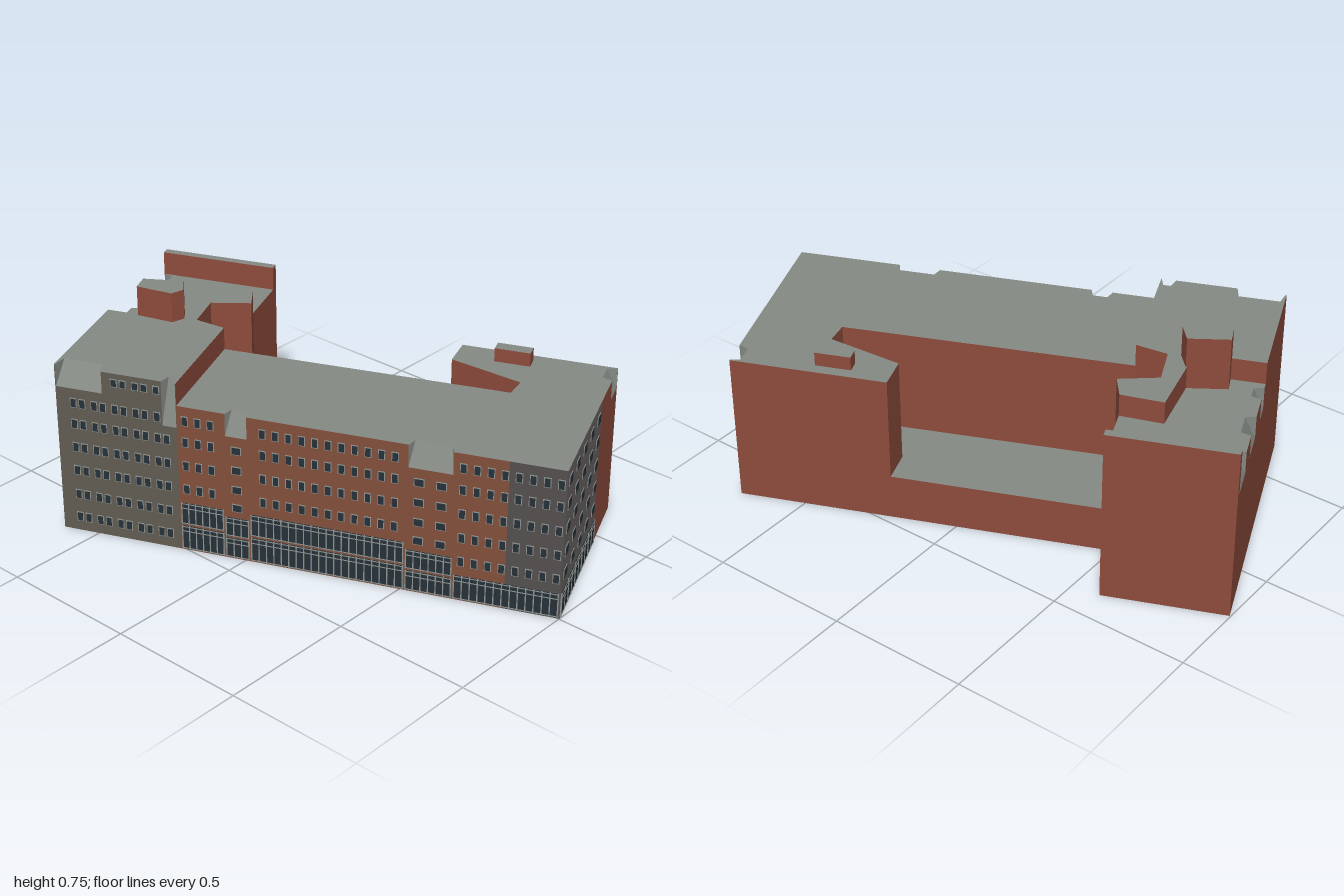
import * as THREE from 'three';
import { mergeGeometries } from 'three/addons/utils/BufferGeometryUtils.js';

const mat = (color) => new THREE.MeshStandardMaterial({ color, side: THREE.DoubleSide });
const BRICK = mat(0x8e4c3c), FRONT = mat(0x84503c), STONE = mat(0x625c52), SLATE = mat(0x54504f),
  SIDE = mat(0x6c6464), ROOF = mat(0x858a85), FRAME = mat(0x8f9490), GLASS = mat(0x263138);

function add(parent, geo, material, name) {
  const m = new THREE.Mesh(geo, material);
  m.name = name;
  parent.add(m);
  return m;
}

// Frame standing on the plan line a -> b: x along the wall, y up, z outward
function wallFrame(parent, a, b, name) {
  const g = new THREE.Group();
  g.name = name;
  g.position.set(a[0], 0, -a[1]);
  g.rotation.y = Math.atan2(b[1] - a[1], b[0] - a[0]);
  parent.add(g);
  return g;
}

// Sloped roof patch that fills a notch [start, end, low y, depth] in the wall top
function slope(parent, [s0, s1, y0, d], y1) {
  const k = 0.012;
  const A = [s0, y1, 0], B = [s0, y0, 0], C = [s1, y0, 0], D = [s1, y1, 0], E = [s0 + k, y1, -d], F = [s1 - k, y1, -d];
  const geo = new THREE.BufferGeometry();
  geo.setAttribute('position', new THREE.Float32BufferAttribute([A, B, E, B, C, F, B, F, E, C, D, F].flat(), 3));
  geo.computeVertexNormals();
  add(parent, geo, ROOF, 'roofSlope');
}

// Open-bottomed block. Corners run counter-clockwise in plan: [u, v, wall base or null, material, notches]
function block(parent, name, corners, top) {
  const g = new THREE.Group();
  g.name = name;
  parent.add(g);
  const outline = [];
  corners.forEach((a, i) => {
    const b = corners[(i + 1) % corners.length];
    const [u, v, base = 0, material = BRICK, notches = []] = a;
    const len = Math.hypot(b[0] - u, b[1] - v), du = (b[0] - u) / len, dv = (b[1] - v) / len;
    const plan = (s, d) => new THREE.Vector2(u + du * s - dv * d, v + dv * s + du * d);
    outline.push(plan(0, 0));
    for (const [s0, s1, , d] of notches) {
      outline.push(plan(s0, 0), plan(s0 + 0.012, d), plan(s1 - 0.012, d), plan(s1, 0));
    }
    if (base === null) return;
    const frame = wallFrame(g, a, b, 'wallSection');
    const shape = new THREE.Shape();
    shape.moveTo(0, base).lineTo(len, base).lineTo(len, top);
    for (const [s0, s1, y0] of [...notches].reverse()) {
      shape.lineTo(s1, top).lineTo(s1, y0).lineTo(s0, y0).lineTo(s0, top);
    }
    shape.lineTo(0, top);
    add(frame, new THREE.ShapeGeometry(shape), material, 'wall');
    notches.forEach((n) => slope(frame, n, top));
  });
  const cap = new THREE.ShapeGeometry(new THREE.Shape(outline));
  cap.rotateX(-Math.PI / 2).translate(0, top, 0);
  add(g, cap, ROOF, 'roof');
}

// Collects framed windows and glazed shopfronts on one facade, then merges them
function openings(frame) {
  const frames = [], panes = [];
  const box = (list, x, y, w, h, d) => list.push(new THREE.BoxGeometry(w, h, d).translate(x, y, 0));
  return {
    window(x, y, w, h) {
      box(frames, x, y, w, h, 0.004);
      box(panes, x, y, w - 0.006, h - 0.006, 0.007);
    },
    glazing(x0, x1, y0, y1, pitch) {
      const w = x1 - x0, n = Math.max(1, Math.round(w / pitch));
      box(panes, (x0 + x1) / 2, (y0 + y1) / 2, w, y1 - y0, 0.006);
      for (let i = 0; i <= n; i++) box(frames, x0 + (w * i) / n, (y0 + y1) / 2, 0.004, y1 - y0, 0.01);
      for (const y of [y0 + 0.003, y1 - 0.02, y1 - 0.003]) box(frames, (x0 + x1) / 2, y, w, 0.003, 0.009);
    },
    finish() {
      add(frame, mergeGeometries(frames), FRAME, 'windowFrames');
      add(frame, mergeGeometries(panes), GLASS, 'windowPanes');
    },
  };
}

export function createModel() {
  const root = new THREE.Group();
  root.name = 'building';
  const plan = new THREE.Group();
  plan.name = 'rotatedBuilding';
  plan.position.set(-0.62, 0, 0.677);
  plan.rotation.y = 0.397;
  root.add(plan);

  // Long main wing wrapping the right of the courtyard
  block(plan, 'mainWing', [
    [0.437, 0, 0, FRONT, [[0.17, 0.246, 0.47, 0.035], [0.8, 0.95, 0.47, 0.035]]],
    [1.57, 0, 0, SLATE],
    [1.757, 0, 0, SIDE],
    [1.757, 0.49, 0, BRICK, [[0.15, 0.243, 0.48, 0.035]]],
    [1.757, 0.736], [1.208, 0.736, 0.17], [1.203, 0.617, 0.17],
    [1.468, 0.528, 0.17], [1.456, 0.446, 0.17], [0.437, 0.437, null],
  ], 0.553);

  // Taller corner block with mansard slopes, and its stem beside the courtyard
  block(plan, 'cornerBlock', [
    [0, 0, 0, STONE, [[0.003, 0.17, 0.553, 0.05], [0.385, 0.435, 0.47, 0.04]]],
    [0.437, 0, 0.553], [0.437, 0.437, 0.17], [0.325, 0.465, 0.17], [0.32, 0.608, 0.17],
    [0.457, 0.65, 0.17], [0.43, 0.736, 0.553], [0.28, 0.745, 0.553], [0.25, 0.53, 0.553],
    [0.25, 0.44, 0.553], [0, 0.44],
  ], 0.635);

  // Lower rear of the left wing
  block(plan, 'rearWing', [
    [0, 0.44, null], [0.25, 0.44, null], [0.25, 0.53, null], [0.28, 0.745, null],
    [0.43, 0.736], [0.43, 0.973],
    [0, 0.973, 0, BRICK, [[0.03, 0.14, 0.47, 0.035], [0.23, 0.34, 0.47, 0.035], [0.44, 0.51, 0.47, 0.035]]],
  ], 0.553);
  block(plan, 'rearParapet', [[0, 0.943, 0.553], [0.43, 0.943, 0.553], [0.43, 0.973, 0.553], [0, 0.973, 0.553]], 0.64);

  // Low courtyard roof behind a single-storey wall
  block(plan, 'courtyard', [
    [0.325, 0.465, null], [0.437, 0.437, null], [1.456, 0.446, null], [1.468, 0.528, null], [1.203, 0.617, null],
    [1.208, 0.736], [0.43, 0.736, null], [0.457, 0.65, null], [0.32, 0.608, null],
  ], 0.17);

  // Rooftop tower and plant room
  block(plan, 'roofTower', [
    [0.117, 0.434, 0.553], [0.252, 0.42, 0.553], [0.281, 0.462, 0.553], [0.254, 0.528, 0.553], [0.113, 0.5, 0.553],
  ], 0.745);
  block(plan, 'plantRoom', [
    [1.344, 0.65, 0.553], [1.47, 0.65, 0.553], [1.47, 0.695, 0.553], [1.344, 0.695, 0.553],
  ], 0.603);

  // Front windows: corner block, main run, two stair bays with offset rows
  const rows = [0.5, 0.42, 0.33, 0.24];
  const front = openings(wallFrame(plan, [0, 0], [1, 0], 'frontOpenings'));
  for (let i = 0; i < 10; i++) {
    const x = 0.06 + i * 0.038 + (i % 2 ? -0.003 : 0.003);
    for (const y of [...rows, 0.145, 0.055]) if (y < 0.47 || x < 0.38) front.window(x, y, 0.024, 0.036);
    if (i > 3 && i < 9) front.window(x, 0.6, 0.024, 0.03);
  }
  const inBay = (x) => (x > 0.595 && x < 0.695) || (x > 1.225 && x < 1.4);
  for (let x = 0.465; x < 1.75; x += 0.0455) {
    if (inBay(x)) continue;
    for (const y of rows) front.window(x, y, 0.024, 0.036);
    if (x > 1.4) front.window(x, 0.15, 0.024, 0.036);
  }
  for (const x of [0.645, 1.275, 1.35]) {
    for (const y of [0.42, 0.345, 0.27, 0.2]) front.window(x, y, 0.036, 0.03);
  }

  // Glazed shopfronts, stepping down at the bays
  for (const [x0, x1, low, high] of [
    [0.445, 0.595, 0.095, 0.185], [0.605, 0.685, 0.08, 0.16], [0.695, 1.225, 0.095, 0.185],
    [1.235, 1.39, 0.08, 0.16], [1.4, 1.75, 0.095, 0],
  ]) {
    front.glazing(x0, x1, 0.005, low, 0.027);
    if (high) front.glazing(x0, x1, low + 0.008, high, 0.027);
  }
  front.finish();

  // Right side windows and shopfront
  const side = openings(wallFrame(plan, [1.757, 0], [1.757, 1], 'sideOpenings'));
  for (let i = 0; i < 5; i++) {
    for (const y of [0.502, 0.415, 0.327, 0.24, 0.155]) side.window(0.045 + i * 0.101, y, 0.042, 0.036);
    side.glazing(0.005 + i * 0.097, 0.096 + i * 0.097, 0.005, 0.095, 0.046);
  }
  side.finish();
  return root;
}
